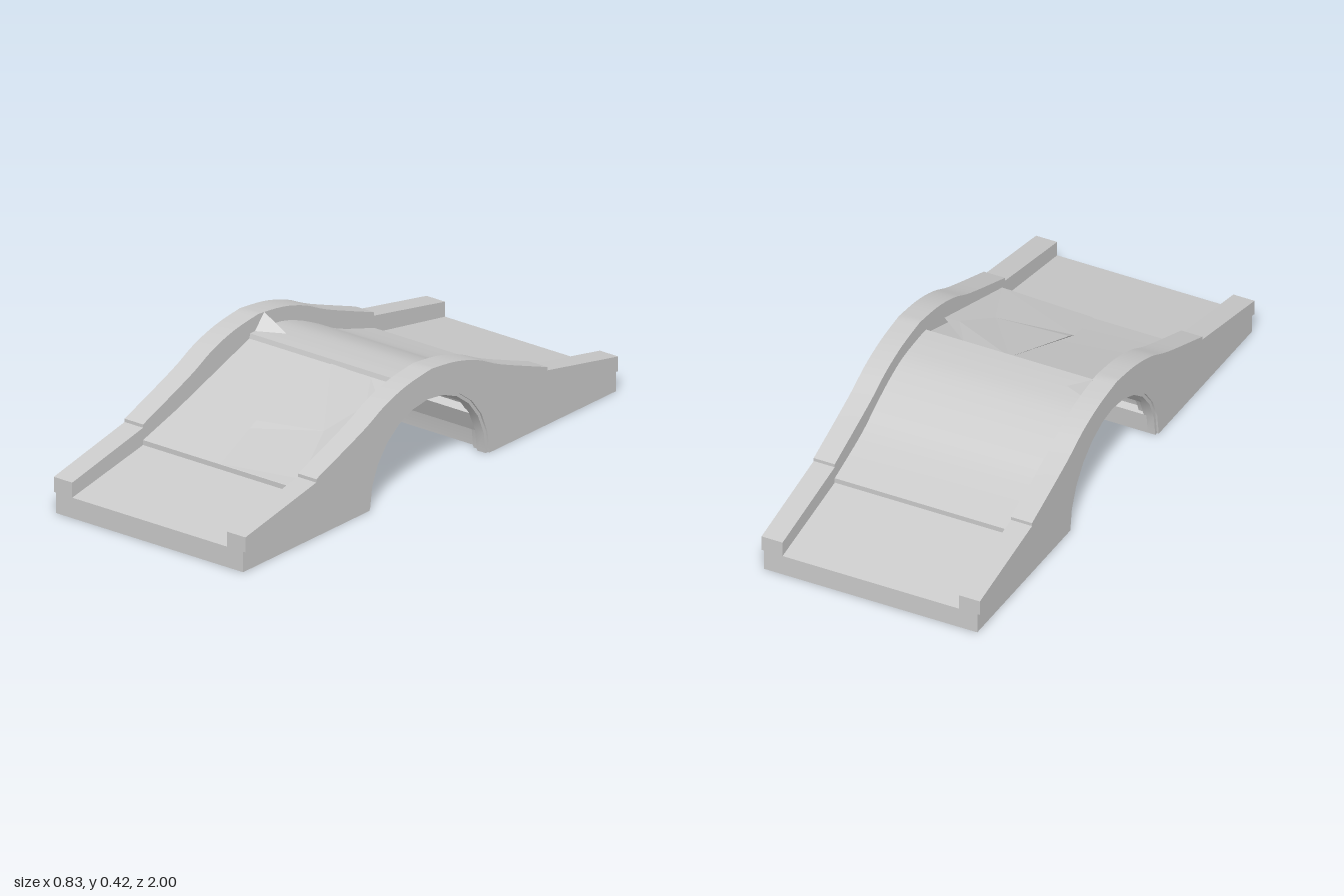
import * as THREE from 'three';
import { toCreasedNormals } from 'three/addons/utils/BufferGeometryUtils.js';

const mat = new THREE.MeshStandardMaterial({ color: 0xcccccc, side: THREE.DoubleSide });
const RX = 0.31, RY = 0.3, SEGS = 12;

// Side profiles are [z, y] points; this spans one across x0..x1.
function slab(name, points, x0, x1) {
  const shape = new THREE.Shape(points.map(([z, y]) => new THREE.Vector2(-z, y)));
  const geo = new THREE.ExtrudeGeometry(shape, { depth: x1 - x0, bevelEnabled: false });
  geo.rotateY(Math.PI / 2).translate(x0, 0, 0);
  const mesh = new THREE.Mesh(toCreasedNormals(geo, 0.35), mat);
  mesh.name = name;
  return mesh;
}

// Smooth curve through half-profile points
const smooth = (pts, n) => new THREE.SplineCurve(pts.map(p => new THREE.Vector2(...p)))
  .getPoints(n).map(p => [p.x, p.y]);
// Mirrors a z > 0 half (ending at z = 0) to the back
const bothEnds = half => [...half, ...half.slice(0, -1).reverse().map(([z, y]) => [-z, y])];

// Arch line grown outwards by d, from +z to -z
const archPoint = (i, d) => {
  const a = Math.PI * i / SEGS;
  return [(RX + d) * Math.cos(a), (RY + d) * Math.sin(a)];
};
const arch = (d, a = 0, b = SEGS) =>
  Array.from({ length: b - a + 1 }, (_, i) => archPoint(a + i, d));

// Flat-sided facets given as corner loops
function facets(name, loops) {
  const pos = [];
  for (const l of loops)
    for (let i = 1; i < l.length - 1; i++) pos.push(...l[0], ...l[i], ...l[i + 1]);
  const geo = new THREE.BufferGeometry();
  geo.setAttribute('position', new THREE.Float32BufferAttribute(pos, 3));
  geo.computeVertexNormals();
  const mesh = new THREE.Mesh(geo, mat);
  mesh.name = name;
  return mesh;
}

export function createModel() {
  const model = new THREE.Group();
  model.name = 'archBridge';

  const deckHalf = smooth([[0.62, 0.16], [0.43, 0.22], [0.32, 0.275], [0.22, 0.32], [0.12, 0.35], [0, 0.36]], 20);
  const capLow = bothEnds([[1, 0.075], ...deckHalf]);
  const capTop = bothEnds([[1, 0.13], [0.62, 0.205],
    ...smooth([[0.62, 0.217], [0.37, 0.31], [0.25, 0.365], [0.13, 0.4], [0, 0.417]], 16)]);

  // Solid core: ramps, worn front deck, smooth back deck, deep arch vault
  const back = [[0.045, 0.36], [0, 0.36], ...deckHalf.slice(0, -1).reverse().map(([z, y]) => [-z, y])];
  const core = [[1, 0], [1, 0.075], [0.62, 0.142], [0.62, 0.16], [0.43, 0.215], [0.05, 0.343],
    ...back, [-0.62, 0.142], [-1, 0.075], [-1, 0], ...arch(0.03).reverse()];
  model.add(slab('deckAndRamps', core, -0.336, 0.336));

  for (const s of [-1, 1]) {
    const side = s > 0 ? 'left' : 'right';
    const span = (a, b) => s > 0 ? [a, b] : [-b, -a];
    // Side wall under the parapet
    model.add(slab(side + 'SideWall',
      [[1, 0], ...capLow, [-1, 0], ...arch(0.012).reverse()], ...span(0.335, 0.405)));
    // Parapet running over the whole bridge
    model.add(slab(side + 'Parapet', [...capTop, ...capLow.slice().reverse()], ...span(0.335, 0.415)));
    // Trim around the arch opening
    model.add(slab(side + 'ArchTrim', [...arch(0.015), ...arch(0).reverse()], ...span(0.36, 0.398)));
  }

  // Cross strips under the vault
  for (let i = 0; i < SEGS; i += 2)
    model.add(slab('vaultStrip', [...arch(0.035, i, i + 1), ...arch(0, i, i + 1).reverse()], -0.37, 0.37));

  // Broken paving on the front of the deck
  const A = [0.02, 0.346, 0.05], B = [-0.03, 0.238, 0.39], C = [0.23, 0.255, 0.35],
    D = [0.29, 0.314, 0.2], E = [0.2, 0.346, 0.06], F = [0.335, 0.19, 0.6],
    G = [-0.03, 0.22, 0.425], H = [0, 0.163, 0.62], I = [0.335, 0.325, 0.18];
  model.add(facets('brokenPaving', [
    [A, B, C], [A, C, D], [A, D, E], [E, D, I], [D, C, F], [D, F, I],
    [B, G, C], [G, F, C], [G, H, F], [H, [0.335, 0.163, 0.62], F], [A, G, B],
  ]));

  // Rubble leaning on the parapet at the crest
  const P = [-0.336, 0.415, -0.03], Q = [-0.24, 0.36, -0.03],
    R = [-0.336, 0.36, 0.02], S = [-0.336, 0.36, -0.07];
  model.add(facets('crestRubble', [[P, R, Q], [P, Q, S], [R, P, S]]));

  return model;
}
